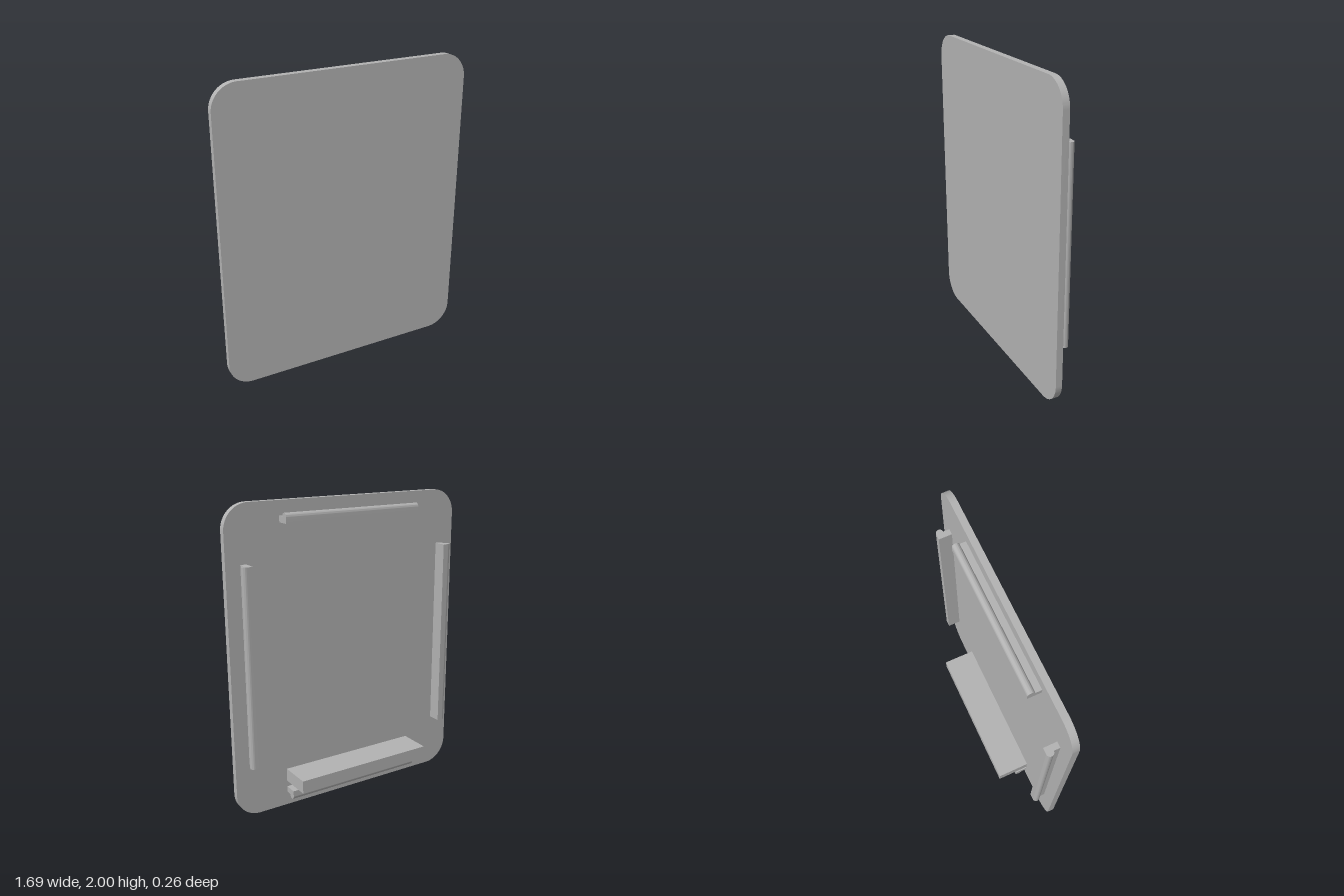
import * as THREE from 'three';
import { toCreasedNormals } from 'three/addons/utils/BufferGeometryUtils.js';

const WIDTH = 1.69, HEIGHT = 2, CORNER = 0.16;
const BACK = 0.087, FRONT = 0.13; // back and front faces of the panel

function extrude(shape, depth) {
  const geo = new THREE.ExtrudeGeometry(shape, { depth, bevelEnabled: false, curveSegments: 16 });
  return toCreasedNormals(geo, Math.PI / 6);
}

// Rounded rectangular panel
function panelGeometry() {
  const x = WIDTH / 2, y = HEIGHT / 2, r = CORNER;
  const s = new THREE.Shape();
  s.absarc(x - r, y - r, r, 0, Math.PI / 2);
  s.absarc(-x + r, y - r, r, Math.PI / 2, Math.PI);
  s.absarc(-x + r, -y + r, r, Math.PI, Math.PI * 1.5);
  s.absarc(x - r, -y + r, r, Math.PI * 1.5, Math.PI * 2);
  s.closePath();
  return extrude(s, FRONT - BACK).translate(0, 1, BACK);
}

// Snap rail: a thin wall with a round bead along its outer edge
function railGeometry(inner, length) {
  const outer = inner + 0.039, r = 0.0235;
  const s = new THREE.Shape();
  s.moveTo(inner, 0);
  s.lineTo(outer, 0);
  s.absarc(outer, r, r, -Math.PI / 2, Math.PI / 2);
  s.lineTo(outer, BACK);
  s.lineTo(inner, BACK);
  s.closePath();
  const geo = extrude(s, length).translate(0, 0, -length / 2);
  // profile runs outward along y and deep along z, length along x
  const basis = new THREE.Matrix4().makeBasis(
    new THREE.Vector3(0, 1, 0), new THREE.Vector3(0, 0, 1), new THREE.Vector3(1, 0, 0));
  return geo.applyMatrix4(basis);
}

export function createModel() {
  const model = new THREE.Group();
  model.name = 'coverPanel';
  const grey = new THREE.MeshStandardMaterial({ color: 0xb2b2b2 });
  grey.name = 'plainGrey';

  const add = (name, geo) => {
    const mesh = new THREE.Mesh(geo, grey);
    mesh.name = name;
    model.add(mesh);
    return mesh;
  };

  add('panel', panelGeometry());

  // Four rails, turned about the panel centre
  const rails = [
    ['topRail', 0, 0.869, 0.97],
    ['rightRail', 1, 0.71, 1.28],
    ['bottomRail', 2, 0.869, 0.97],
    ['leftRail', 3, 0.71, 1.28],
  ];
  for (const [name, quarter, inner, length] of rails) {
    const rail = add(name, railGeometry(inner, length));
    rail.position.y = 1;
    rail.rotation.z = quarter * Math.PI / 2;
  }

  // Ledge above the bottom rail
  const ledge = add('ledge', new THREE.BoxGeometry(0.97, 0.086, BACK + FRONT));
  ledge.position.set(0, 0.215, (BACK - FRONT) / 2);

  return model;
}
